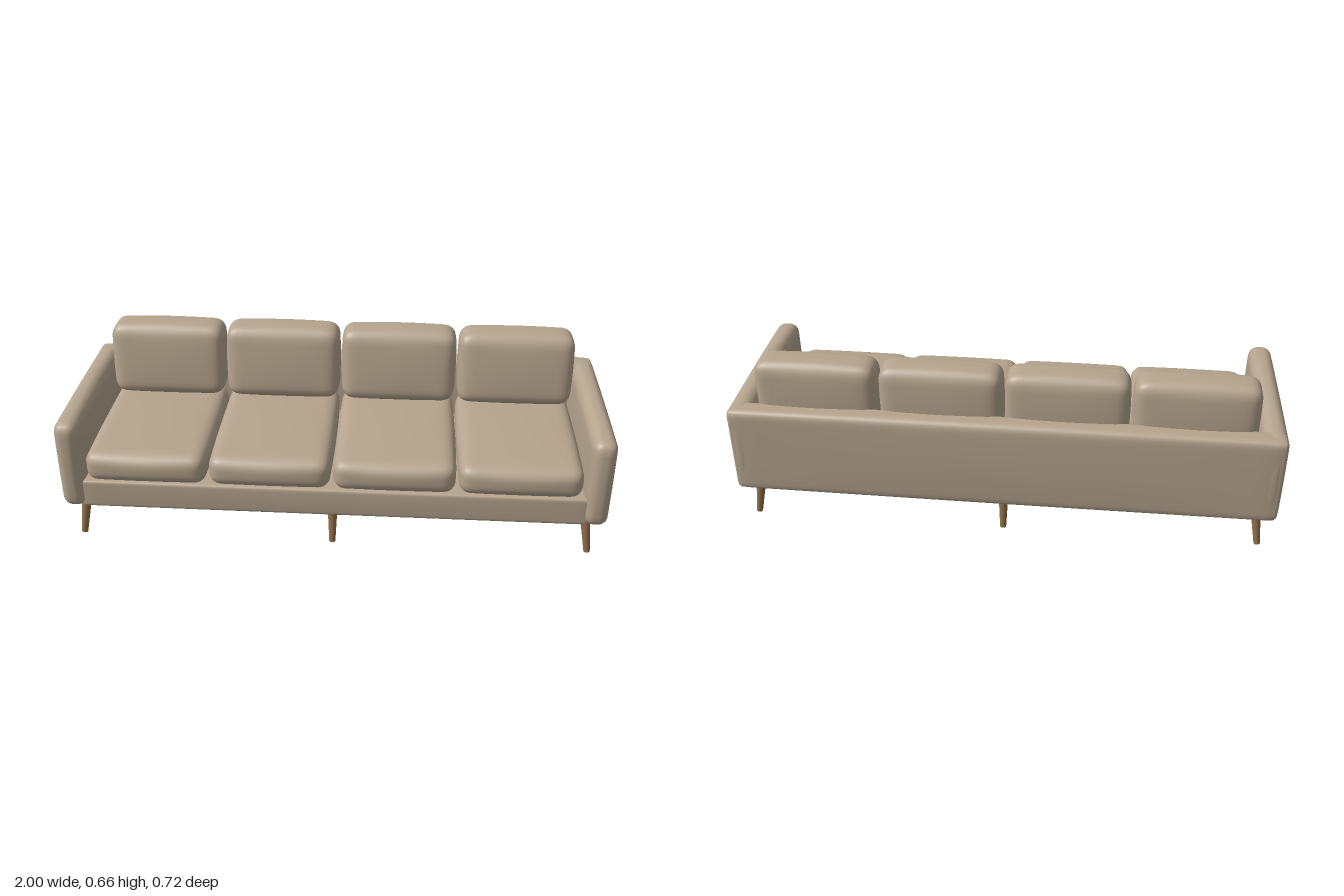
import * as THREE from 'three';
import { mergeVertices } from 'three/addons/utils/BufferGeometryUtils.js';

// Upholstered block: rounded box whose faces swell by bulge = [x, y, z]
function softBox(size, radius, bulge, seg = 20) {
  const geo = new THREE.BoxGeometry(2, 2, 2, seg, seg, seg);
  geo.deleteAttribute('normal');
  geo.deleteAttribute('uv');
  const pos = geo.attributes.position;
  const half = size.map((s, i) => s / 2 - bulge[i]);
  const p = new THREE.Vector3(), core = new THREE.Vector3();
  for (let i = 0; i < pos.count; i++) {
    // pack the grid lines towards the edges, where the rounding is
    const t = [pos.getX(i), pos.getY(i), pos.getZ(i)].map((v) => Math.sin(v * Math.PI / 2));
    p.set(...t.map((v, k) => v * half[k]));
    core.set(...p.toArray().map((v, k) => THREE.MathUtils.clamp(v, radius - half[k], half[k] - radius)));
    p.sub(core);
    if (p.lengthSq() > 1e-12) {
      const reach = Math.max(Math.abs(p.x), Math.abs(p.y), Math.abs(p.z));
      p.setLength(reach);
    }
    p.add(core);
    const q = p.toArray().map((v, k) => v / half[k]);
    const f = q.map((v) => Math.max(0, 1 - v * v));
    p.x += bulge[0] * q[0] * f[1] * f[2];
    p.y += bulge[1] * q[1] * f[0] * f[2];
    p.z += bulge[2] * q[2] * f[0] * f[1];
    pos.setXYZ(i, p.x, p.y, p.z);
  }
  const merged = mergeVertices(geo, 1e-5);
  merged.computeVertexNormals();
  return merged;
}

export function createModel() {
  const fabric = new THREE.MeshStandardMaterial({ color: 0xb5a48e });
  fabric.name = 'beige fabric';
  const wood = new THREE.MeshStandardMaterial({ color: 0x92704a });
  wood.name = 'brown wood';

  const sofa = new THREE.Group();
  sofa.name = 'sofa';
  const add = (name, geo, mat, x, y, z) => {
    const mesh = new THREE.Mesh(geo, mat);
    mesh.name = name;
    mesh.position.set(x, y, z);
    sofa.add(mesh);
    return mesh;
  };

  // Seat base and backrest
  add('seatBase', softBox([1.84, 0.115, 0.66], 0.012, [0, 0.002, 0.003]), fabric, 0, 0.196, 0);
  add('backrest', softBox([1.975, 0.35, 0.098], 0.025, [0, 0.004, 0.006]), fabric, 0, 0.317, -0.311);

  // Arms
  const armGeo = softBox([0.1, 0.362, 0.704], 0.036, [0.006, 0.009, 0.006]);
  for (const side of [-1, 1]) {
    add(side > 0 ? 'leftArm' : 'rightArm', armGeo, fabric, side * 0.948, 0.315, -0.003);
  }

  // Back cushion: thinner and leaning backwards towards the top
  const cushionHeight = 0.29;
  const backGeo = softBox([0.443, cushionHeight, 0.196], 0.042, [0.006, 0.009, 0.012]);
  const bp = backGeo.attributes.position;
  for (let i = 0; i < bp.count; i++) {
    const rise = bp.getY(i) / (cushionHeight / 2) + 1;
    bp.setZ(i, bp.getZ(i) * (1 - 0.12 * rise) - 0.008 * rise);
  }
  backGeo.computeVertexNormals();

  // Four seat cushions and four back cushions
  const seatGeo = softBox([0.445, 0.132, 0.62], 0.042, [0.005, 0.008, 0.012]);
  for (let i = 0; i < 4; i++) {
    const x = (i - 1.5) * 0.448;
    add('seatCushion', seatGeo, fabric, x, 0.314, 0.047);
    add('backCushion', backGeo, fabric, x, 0.511, -0.205);
  }

  // Tapered legs, splayed outwards
  const up = new THREE.Vector3(0, 1, 0);
  for (const sx of [-1, 0, 1]) {
    for (const sz of [-1, 1]) {
      const foot = new THREE.Vector3(sx * 0.94, 0.001, sz * 0.29);
      const top = new THREE.Vector3(sx * 0.918, 0.16, sz * 0.27);
      const axis = top.clone().sub(foot);
      const mid = foot.clone().add(top).multiplyScalar(0.5);
      const leg = add(sz > 0 ? 'frontLeg' : 'backLeg',
        new THREE.CylinderGeometry(0.019, 0.0115, axis.length(), 20), wood, mid.x, mid.y, mid.z);
      leg.quaternion.setFromUnitVectors(up, axis.normalize());
    }
  }
  return sofa;
}
